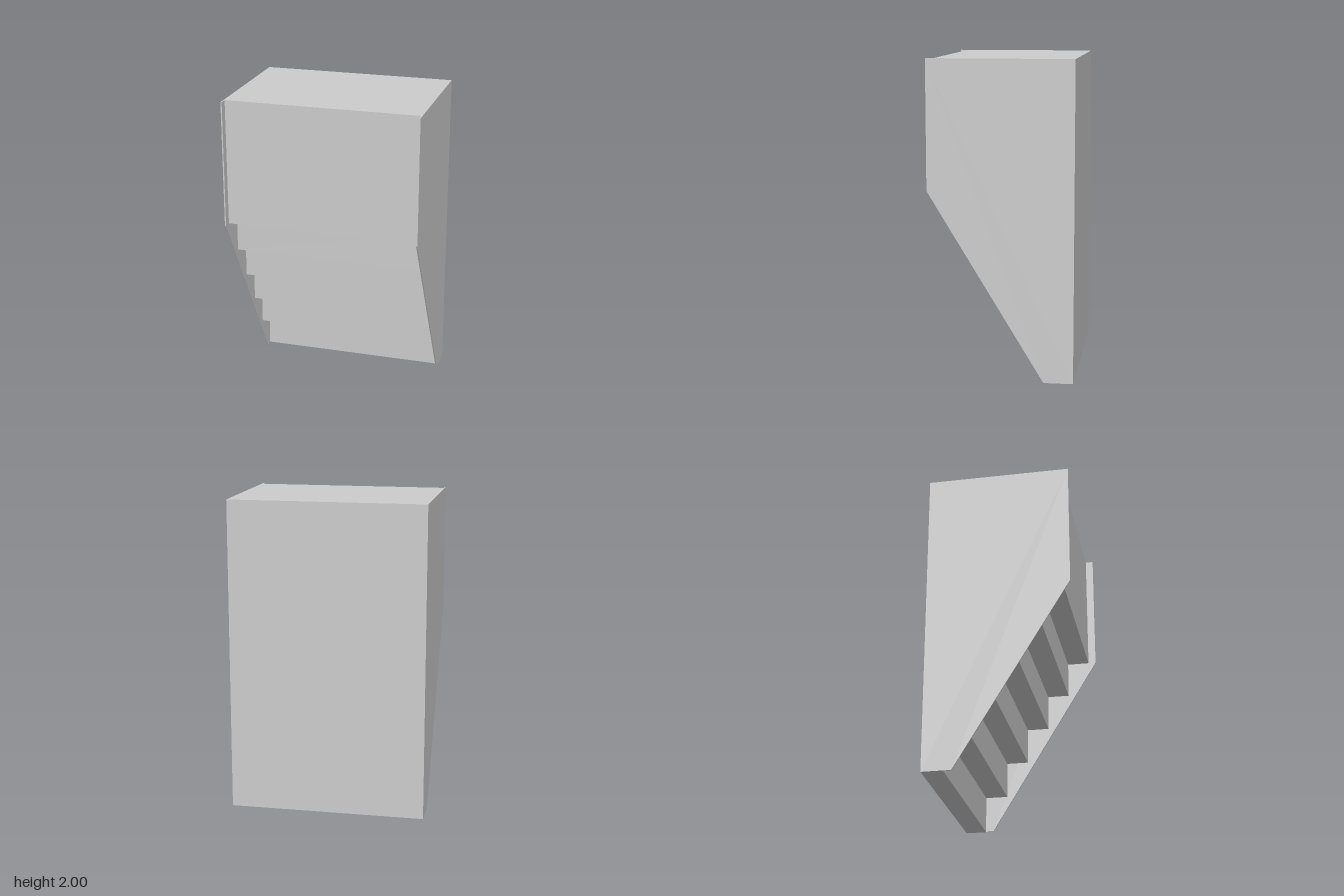
import * as THREE from 'three';

const HALF_W = 0.625, BACK = -0.455, FRONT = 0.455, HEIGHT = 2;
const PANEL = 0.008;      // side panel thickness
const STEPS = 5, RISE = 0.238, RUN = 0.145;
const TOE = -0.27;        // front of the side panels at the floor
const INSET = 0.05;       // step faces sit behind the panel edges

const material = new THREE.MeshStandardMaterial({ color: 0xcccccc, flatShading: true });

// Extrudes a [z, y] profile along x, centred on the given x
function extrudeAcross(name, points, width, x) {
  const shape = new THREE.Shape(points.map(([z, y]) => new THREE.Vector2(-z, y)));
  const geometry = new THREE.ExtrudeGeometry(shape, { depth: width, bevelEnabled: false });
  geometry.translate(0, 0, -width / 2);
  geometry.rotateY(Math.PI / 2);
  const mesh = new THREE.Mesh(geometry, material);
  mesh.name = name;
  mesh.position.x = x;
  return mesh;
}

export function createModel() {
  const group = new THREE.Group();
  group.name = 'steppedCabinet';

  // Body with overhanging steps on its front
  const body = [[BACK, HEIGHT], [BACK, 0]];
  for (let i = 0; i <= STEPS; i++) {
    const z = TOE - INSET + i * RUN;
    body.push([z, i * RISE], [z, i < STEPS ? (i + 1) * RISE : HEIGHT]);
  }
  group.add(extrudeAcross('steppedBody', body, 2 * (HALF_W - PANEL), 0));

  // Thin side panels with a sloping lower front edge
  const side = [[BACK, HEIGHT], [BACK, 0], [TOE, 0], [FRONT, STEPS * RISE], [FRONT, HEIGHT]];
  for (const s of [1, -1]) {
    group.add(extrudeAcross(s > 0 ? 'leftSidePanel' : 'rightSidePanel', side, PANEL, s * (HALF_W - PANEL / 2)));
  }
  return group;
}
